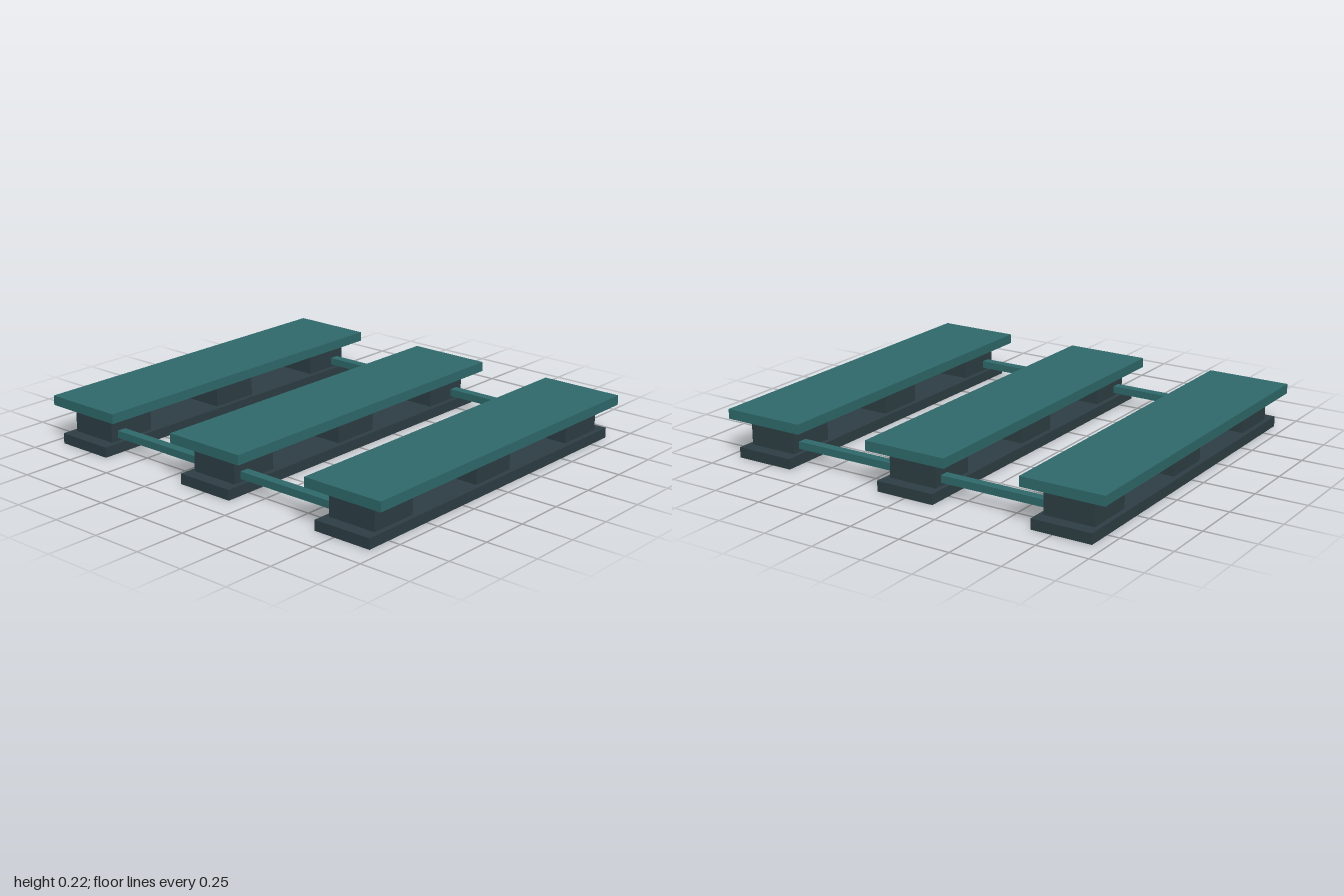
import * as THREE from 'three';

export function createModel() {
  const model = new THREE.Group();
  model.name = 'pallet';
  const teal = new THREE.MeshStandardMaterial({ name: 'teal', color: 0x2f6a6b });
  const slate = new THREE.MeshStandardMaterial({ name: 'dark slate', color: 0x2d3f45 });

  // Box given by its x centre, width, bottom, top, z centre and depth
  function box(parent, name, material, x, width, y0, y1, z, depth) {
    const mesh = new THREE.Mesh(new THREE.BoxGeometry(width, y1 - y0, depth), material);
    mesh.position.set(x, (y0 + y1) / 2, z);
    mesh.name = name;
    parent.add(mesh);
  }

  // Three rows, each with a bottom runner, three blocks and a deck board
  for (const [side, x, deckWidth] of [['right', -0.793, 0.41], ['middle', 0, 0.418], ['left', 0.793, 0.41]]) {
    const row = new THREE.Group();
    row.name = side + 'Row';
    box(row, 'runner', slate, x, 0.295, 0, 0.05, 0, 1.746);
    for (const z of [-0.688, 0, 0.688]) box(row, 'block', slate, x, 0.246, 0.05, 0.178, z, 0.246);
    box(row, 'deckBoard', teal, x, deckWidth, 0.178, 0.225, 0, 1.746);
    model.add(row);
  }

  // Cross bars joining the rows near the front and back
  for (const z of [-0.75, 0.75]) {
    for (const x of [-0.395, 0.395]) box(model, 'crossBar', teal, x, 0.56, 0.065, 0.1, z, 0.046);
  }
  return model;
}
